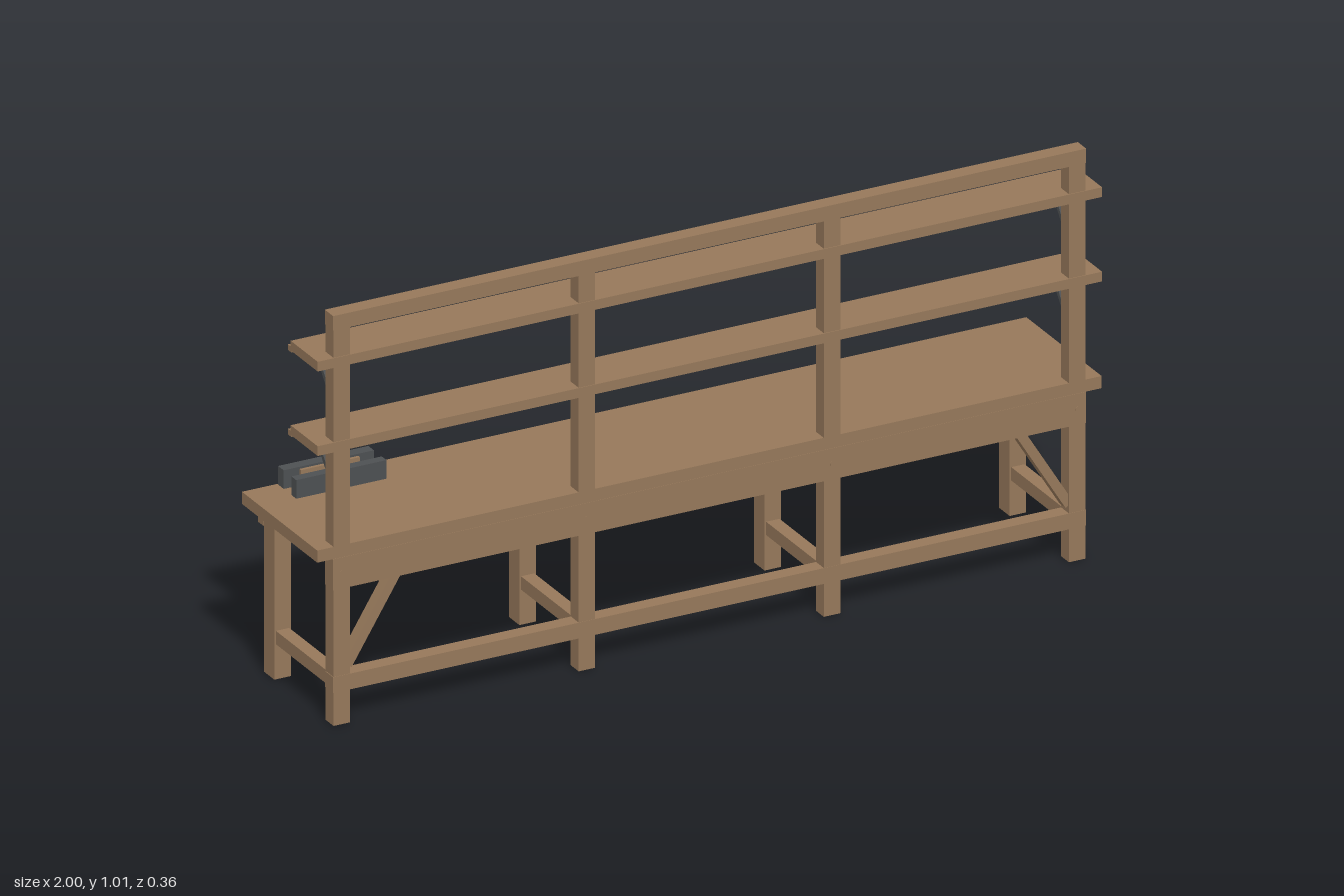
import * as THREE from 'three';

export function createModel() {
  const model = new THREE.Group();
  model.name = 'workbench';

  const mat = (name, color) => {
    const m = new THREE.MeshStandardMaterial({ color });
    m.name = name;
    return m;
  };
  const wood = mat('wood', 0x96785a);
  const metal = mat('dark metal', 0x4d5052);

  const add = (name, geometry, material, parent = model) => {
    const mesh = new THREE.Mesh(geometry, material);
    mesh.name = name;
    parent.add(mesh);
    return mesh;
  };
  // Box given by its lower and upper limits on each axis
  const block = (name, [x0, x1], [y0, y1], [z0, z1], material = wood, parent = model) => {
    const mesh = add(name, new THREE.BoxGeometry(x1 - x0, y1 - y0, z1 - z0), material, parent);
    mesh.position.set((x0 + x1) / 2, (y0 + y1) / 2, (z0 + z1) / 2);
    return mesh;
  };
  // Slanted bar between two points, w along local x and d along local z
  const bar = (name, a, b, w, d, material) => {
    const p = new THREE.Vector3(...a), q = new THREE.Vector3(...b);
    const mesh = add(name, new THREE.BoxGeometry(w, p.distanceTo(q), d), material);
    mesh.position.copy(p).add(q).multiplyScalar(0.5);
    mesh.quaternion.setFromUnitVectors(new THREE.Vector3(0, 1, 0), q.sub(p).normalize());
    return mesh;
  };

  // Worktop, aprons and long rails
  block('worktop', [-1, 1], [0.413, 0.443], [-0.18, 0.18]);
  block('frontApron', [-0.96, 0.96], [0.336, 0.413], [0.142, 0.181]);
  block('rearApron', [-0.96, 0.96], [0.361, 0.413], [-0.178, -0.153]);
  block('bottomRail', [-0.96, 0.96], [0.082, 0.121], [0.143, 0.181]);
  block('topRail', [-0.96, 0.96], [0.979, 1.015], [0.141, 0.181]);

  // Four frames: tall post, rear leg, cross stretcher and bolts
  for (const x of [-0.9375, -0.3125, 0.3125, 0.9375]) {
    block('tallPost', [x - 0.021, x + 0.021], [0, 0.98], [0.142, 0.18]);
    block('rearLeg', [x - 0.021, x + 0.021], [0, 0.413], [-0.153, -0.103]);
    block('crossStretcher', [x - 0.017, x + 0.017], [0.087, 0.12], [-0.103, 0.142]);
    for (const z of [0.18, -0.178]) {
      const bolt = add('bolt', new THREE.CylinderGeometry(0.006, 0.006, 0.005, 10), wood);
      bolt.rotation.x = Math.PI / 2;
      bolt.position.set(x, 0.375, z);
    }
  }

  // Shelves with a lower lip
  for (const y of [0.678, 0.887]) {
    block('shelf', [-1, 1], [y, y + 0.024], [0.053, 0.182]);
    block('shelfLip', [-1, 1], [y - 0.004, y + 0.01], [0.04, 0.056]);
  }

  // Mirrored end braces and shelf brackets
  for (const s of [-1, 1]) {
    bar('legBrace', [s * 0.92, 0.14, 0.161], [s * 0.793, 0.345, 0.161], 0.023, 0.03, wood);
    for (const y of [0.678, 0.887])
      bar('shelfBracket', [s * 0.9375, y - 0.097, 0.145], [s * 0.9375, y - 0.001, 0.067], 0.016, 0.011, metal);
  }

  // Bench vise
  const vise = new THREE.Group();
  vise.name = 'vise';
  model.add(vise);
  block('rearJaw', [-0.91, -0.68], [0.443, 0.489], [-0.176, -0.149], metal, vise);
  block('frontJaw', [-0.91, -0.68], [0.443, 0.489], [-0.112, -0.089], metal, vise);
  block('viseBed', [-0.865, -0.725], [0.443, 0.451], [-0.149, -0.112], metal, vise);
  block('viseMount', [-0.865, -0.725], [0.397, 0.413], [-0.149, -0.089], metal, vise);
  block('rearJawLiner', [-0.87, -0.72], [0.451, 0.484], [-0.149, -0.141], wood, vise);
  block('frontJawLiner', [-0.87, -0.72], [0.451, 0.484], [-0.12, -0.112], wood, vise);
  const handle = add('viseHandle', new THREE.CylinderGeometry(0.003, 0.003, 0.05, 8), metal, vise);
  handle.position.set(-0.795, 0.483, -0.171);
  const knob = add('handleKnob', new THREE.SphereGeometry(0.007, 12, 8), wood, vise);
  knob.position.set(-0.795, 0.51, -0.171);

  return model;
}
